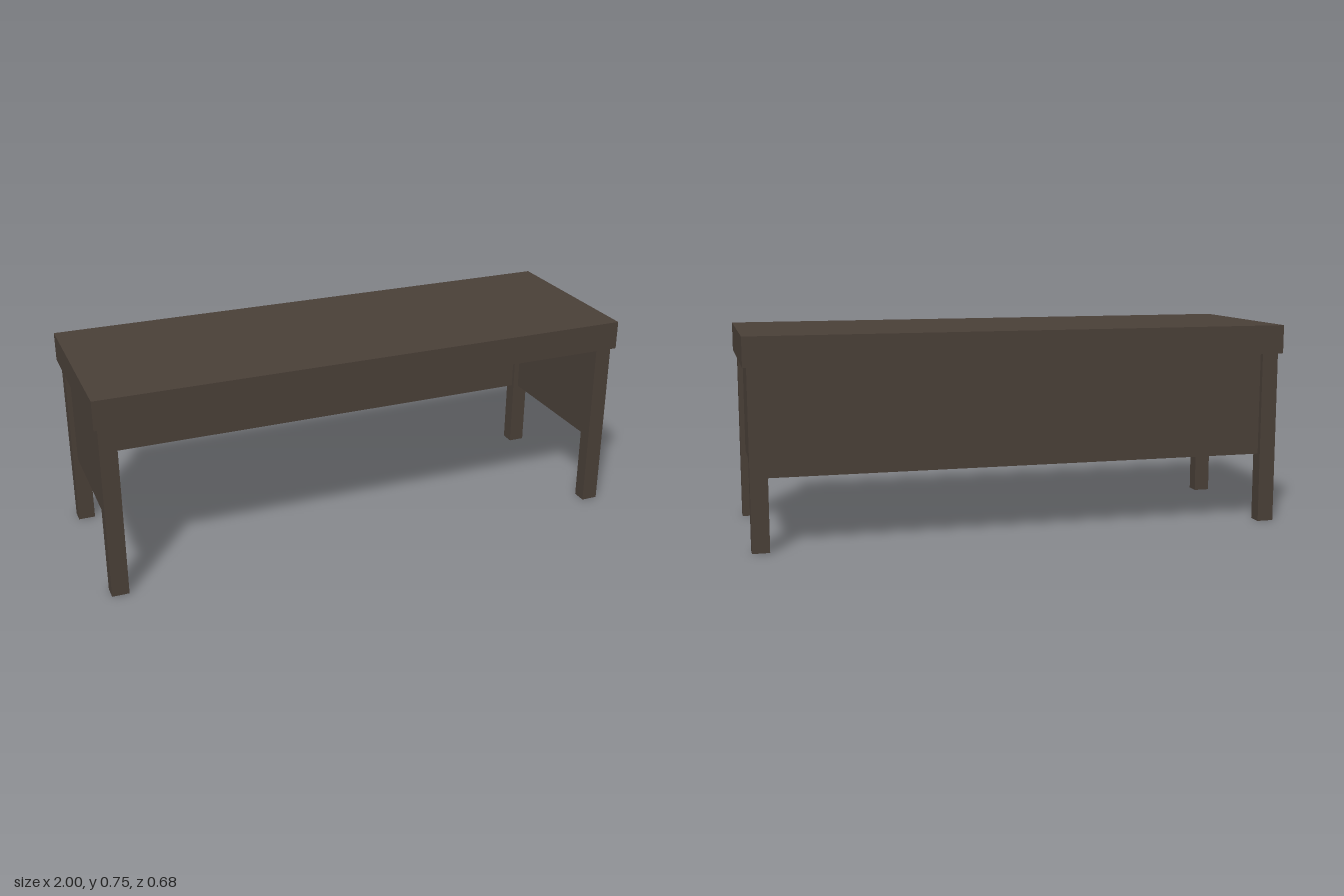
import * as THREE from 'three';

export function createModel() {
  const group = new THREE.Group();
  const wood = new THREE.MeshStandardMaterial({ color: 0x4a4038 });
  wood.name = 'darkWood';

  // Box given by its lower and upper corners
  const addBox = (name, min, max) => {
    const size = max.map((v, i) => v - min[i]);
    const mesh = new THREE.Mesh(new THREE.BoxGeometry(...size), wood);
    mesh.position.set(...max.map((v, i) => (v + min[i]) / 2));
    mesh.name = name;
    group.add(mesh);
  };

  const topBottom = 0.647, panelBottom = 0.26;
  const legX = [0.924, 0.986], legZ = [0.27, 0.324]; // inner and outer faces
  const inset = 0.018, thick = 0.022;

  // Thick slab top
  addBox('tableTop', [-1, topBottom, -0.338], [1, 0.753, 0.338]);

  for (const [sx, side] of [[-1, 'right'], [1, 'left']]) {
    const span = (a, b) => (sx > 0 ? [a, b] : [-b, -a]);
    const [x0, x1] = span(...legX);

    // Square legs
    addBox(side + 'FrontLeg', [x0, 0, legZ[0]], [x1, topBottom, legZ[1]]);
    addBox(side + 'BackLeg', [x0, 0, -legZ[1]], [x1, topBottom, -legZ[0]]);

    // End panel set between the legs
    const [p0, p1] = span(legX[1] - inset - thick, legX[1] - inset);
    addBox(side + 'Panel', [p0, panelBottom, -legZ[0]], [p1, topBottom, legZ[0]]);
  }

  // Back panel; the front stays open
  const backZ = -legZ[1] + inset;
  addBox('backPanel', [-legX[0], panelBottom, backZ], [legX[0], topBottom, backZ + thick]);

  return group;
}
